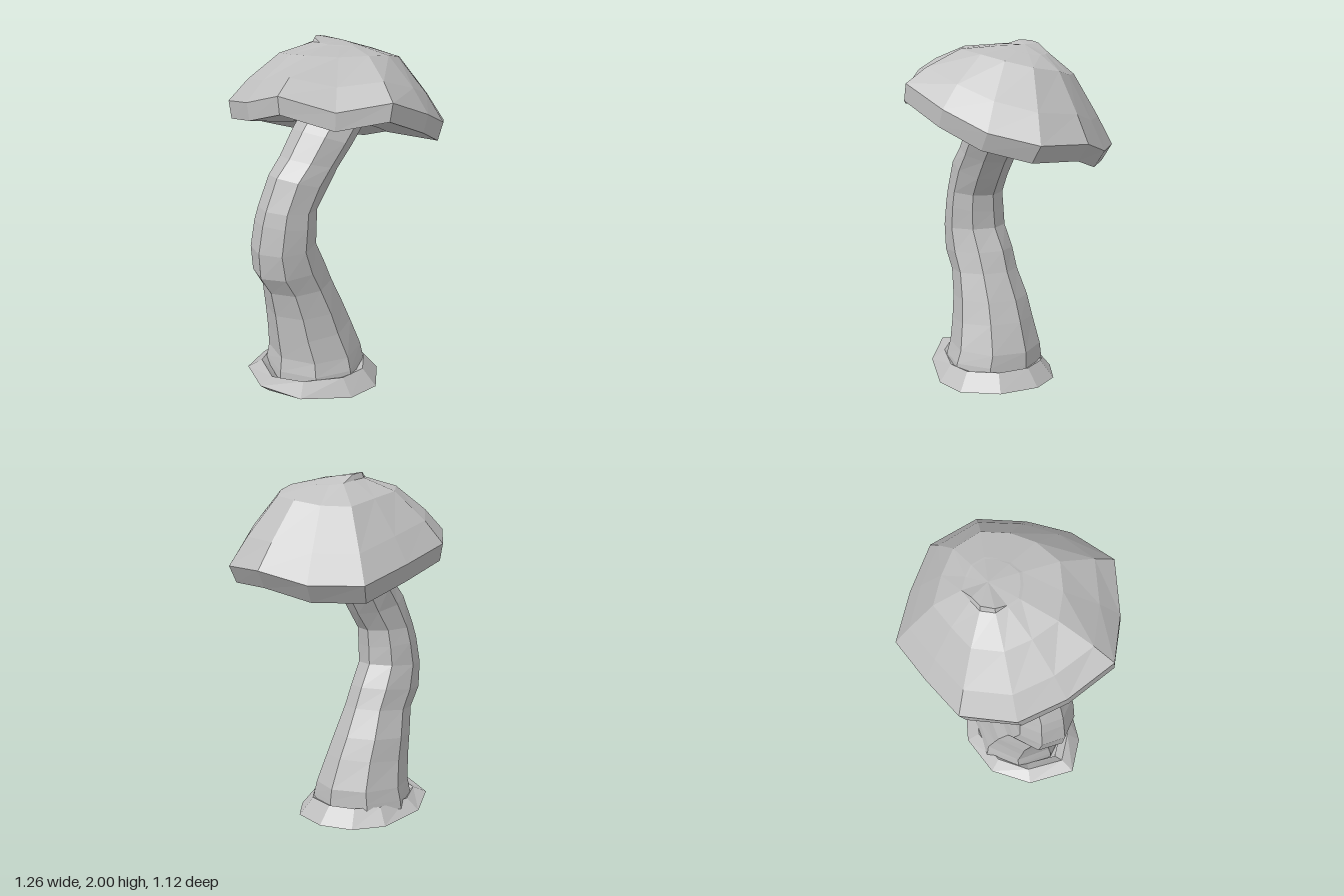
import * as THREE from 'three';

const V = (x, y, z) => new THREE.Vector3(x, y, z);

// Faceted skin through rings listed from the bottom up
function loft(rings) {
  const pos = [];
  const tri = (a, b, c) => {
    const area = b.clone().sub(a).cross(c.clone().sub(a)).length();
    if (area > 1e-7) for (const p of [a, b, c]) pos.push(p.x, p.y, p.z);
  };
  for (let i = 0; i < rings.length - 1; i++) {
    const a = rings[i], b = rings[i + 1], n = a.length;
    for (let j = 0; j < n; j++) {
      const k = (j + 1) % n;
      tri(a[j], b[j], a[k]);
      tri(a[k], b[j], b[k]);
    }
  }
  const g = new THREE.BufferGeometry();
  g.setAttribute('position', new THREE.Float32BufferAttribute(pos, 3));
  g.computeVertexNormals();
  return g;
}

const point = (p, n) => Array.from({ length: n }, () => p.clone());

function capGeometry() {
  // Uneven, tilted rim
  const rim = [
    [-0.24, 1.61, -0.56], [0.05, 1.51, -0.54], [0.35, 1.41, -0.5], [0.52, 1.41, -0.25],
    [0.63, 1.48, 0], [0.57, 1.49, 0.29], [0.35, 1.55, 0.46], [0.1, 1.66, 0.55],
    [-0.2, 1.78, 0.56], [-0.43, 1.74, 0.38], [-0.61, 1.82, 0.15], [-0.57, 1.73, -0.13],
    [-0.48, 1.68, -0.38],
  ].map((p) => V(...p));
  const n = rim.length;
  const apex = V(0.08, 1.98, -0.06);
  // Band under the rim, slanting with the tilt of the cap
  const lower = rim.map((p) => V(p.x * 0.95 - 0.03, p.y - 0.095, p.z * 0.97 + 0.015));

  // Underside with a shallow pocket around the stem
  const mid = V(-0.02, 1.53, -0.03);
  const inner = lower.map((p) => p.clone().lerp(mid, 0.48));
  const pocket = inner.map((p) => p.clone().lerp(mid, 0.3).add(V(0, 0.05, 0)));

  // Dome: [distance from the crown, rise, change of rise along x and z]
  const dome = [[0.83, 0.36, -0.1, 0.08], [0.55, 0.81, -0.12, 0.12], [0.26, 0.95, -0.08, 0]].map(([t, f, fx, fz]) =>
    rim.map((p) => V(
      apex.x + (p.x - apex.x) * t,
      p.y + (apex.y - p.y) * (f + fx * p.x + fz * p.z),
      apex.z + (p.z - apex.z) * t,
    )));

  // Small crown with a raised lip at the back left
  const crown = dome[2].map((p) => {
    const lift = p.z < -0.08 && p.x < 0.1 ? (p.x < 0.04 ? 2.0 : 1.985) : p.y + 0.003;
    return V(apex.x + (p.x - apex.x) * 0.92, lift, apex.z + (p.z - apex.z) * 0.92);
  });
  return loft([point(V(0, 1.6, -0.03), n), pocket, inner, lower, rim, ...dome, crown, point(apex, n)]);
}

function stemGeometry() {
  // Each ring: low-x end (x, y), high-x end (x, y), centre z, depth radius
  const sections = [
    [-0.455, 0.05, 0.12, 0.05, -0.045, 0.3],
    [-0.45, 0.12, 0.115, 0.12, -0.045, 0.29],
    [-0.435, 0.2, 0.11, 0.19, -0.05, 0.27],
    [-0.445, 0.33, 0.05, 0.36, -0.06, 0.237],
    [-0.455, 0.47, 0, 0.48, -0.07, 0.22],
    [-0.485, 0.62, -0.075, 0.64, -0.07, 0.19],
    [-0.553, 0.73, -0.12, 0.76, -0.077, 0.19],
    [-0.563, 0.88, -0.19, 0.89, -0.077, 0.18],
    [-0.535, 1.04, -0.193, 0.99, -0.07, 0.175],
    [-0.515, 1.12, -0.19, 1.09, -0.063, 0.165],
    [-0.445, 1.3, -0.125, 1.19, -0.045, 0.165],
    [-0.36, 1.39, -0.06, 1.3, -0.035, 0.17],
    [-0.27, 1.53, 0.03, 1.41, -0.02, 0.18],
    [-0.18, 1.63, 0.145, 1.53, -0.02, 0.18],
    [-0.12, 1.7, 0.18, 1.61, -0.02, 0.17],
  ];
  const sides = 8;
  const rings = sections.map(([lx, ly, hx, hy, z, rz]) => Array.from({ length: sides }, (_, j) => {
    const ang = (j / sides) * Math.PI * 2;
    const u = 0.5 + 0.5 * Math.cos(ang);
    return V(lx + (hx - lx) * u, ly + (hy - ly) * u, z + Math.sin(ang) * rz);
  }));
  return loft([...rings, point(V(0.04, 1.67, -0.02), sides)]);
}

function footGeometry() {
  // Flared foot, its left edge lifted off the ground
  const edge = [
    [0.21, 0, -0.05], [0.14, 0, 0.18], [-0.04, 0, 0.33], [-0.24, 0.004, 0.32], [-0.5, 0.045, 0.17],
    [-0.63, 0.11, -0.02], [-0.5, 0.09, -0.27], [-0.27, 0.05, -0.39], [0, 0.01, -0.36], [0.15, 0, -0.24],
  ].map((p) => V(...p));
  const n = edge.length;
  const centre = V(-0.18, 0, -0.045);
  const scaled = (s, y) => edge.map((p) => centre.clone().lerp(p, s).setY(y(p)));
  const floor = scaled(0.86, (p) => p.y * 0.5);
  const top = scaled(0.79, (p) => 0.1 + p.y * 0.28);
  const groove = scaled(0.66, () => 0.08);
  return loft([point(centre, n), floor, edge, top, groove]);
}

export function createModel() {
  const grey = new THREE.MeshStandardMaterial({ color: 0xbfbfbf, side: THREE.DoubleSide });
  grey.name = 'grey';
  const group = new THREE.Group();
  group.name = 'mushroom';
  const parts = { cap: capGeometry(), stem: stemGeometry(), foot: footGeometry() };
  for (const [name, geometry] of Object.entries(parts)) {
    const mesh = new THREE.Mesh(geometry, grey);
    mesh.name = name;
    group.add(mesh);
  }
  return group;
}
